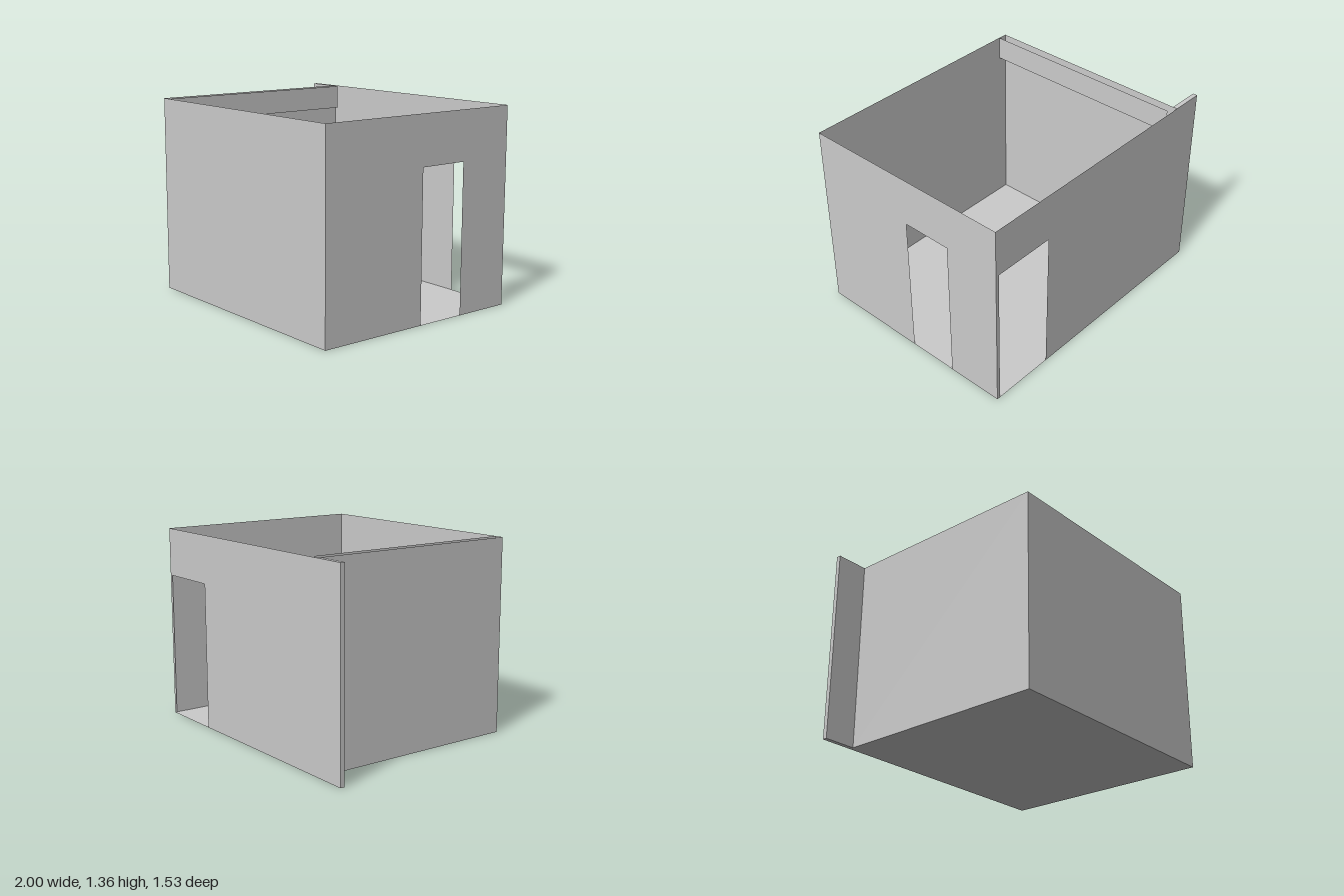
import * as THREE from 'three';

const H = 1.355, X0 = -0.77, X1 = 1, Z0 = -0.767, Z1 = 0.767;
const BEAM_X = -0.705, BEAM_Y = 1.19, RETURN_Z = -0.735, DOOR_H = 1.02;

export function createModel() {
  const room = new THREE.Group();
  room.name = 'room';
  const material = new THREE.MeshStandardMaterial({
    color: 0xcccccc, side: THREE.DoubleSide, flatShading: true,
  });

  const add = (name, geometry) => {
    const mesh = new THREE.Mesh(geometry, material);
    mesh.name = name;
    room.add(mesh);
    return mesh;
  };

  // Thin upright sheet from a to b, with an optional doorway reaching the floor
  const sheet = (a, b, y0, y1, door) => {
    const points = [[a, y0]];
    if (door) points.push([door[0], y0], [door[0], DOOR_H], [door[1], DOOR_H], [door[1], y0]);
    points.push([b, y0], [b, y1], [a, y1]);
    return new THREE.ShapeGeometry(new THREE.Shape(points.map(([x, y]) => new THREE.Vector2(x, y))));
  };

  // Sheet facing along z, outward normal chosen by the sign of z
  const wallAlongX = (name, z, a, b, door) => {
    const g = z > 0 ? sheet(a, b, 0, H, door)
      : sheet(-b, -a, 0, H, door && [-door[1], -door[0]]).rotateY(Math.PI);
    add(name, g.translate(0, 0, z));
  };

  // Sheet facing +x or -x
  const wallAlongZ = (name, x, a, b, y0, facing, door) => {
    const g = facing > 0
      ? sheet(-b, -a, y0, H, door && [-door[1], -door[0]]).rotateY(Math.PI / 2)
      : sheet(a, b, y0, H, door).rotateY(-Math.PI / 2);
    add(name, g.translate(x, 0, 0));
  };

  // Horizontal sheet
  const slab = (name, xa, xb, za, zb, y, up) => add(name,
    new THREE.PlaneGeometry(xb - xa, zb - za).rotateX(up ? -Math.PI / 2 : Math.PI / 2)
      .translate((xa + xb) / 2, y, (za + zb) / 2));

  slab('floor', X0, X1, Z0, Z1, 0, true);

  // Walls, two of them with a doorway
  wallAlongX('frontWall', Z1, X0, X1);
  wallAlongX('backWall', Z0, X0, X1, [0.527, 0.975]);
  wallAlongZ('leftWall', X1, Z0, Z1, 0, 1, [-0.365, -0.012]);
  wallAlongZ('rightWall', X0, RETURN_Z, Z1, 0, -1);

  // Thick end of the back wall beyond the room
  add('backWallEnd', new THREE.BoxGeometry(X0 + 1, H, RETURN_Z - Z0)
    .translate((X0 - 1) / 2, H / 2, (RETURN_Z + Z0) / 2));

  // Beam along the top of the right wall, open above
  wallAlongZ('beamFace', BEAM_X, RETURN_Z, Z1, BEAM_Y, 1);
  slab('beamUnderside', X0, BEAM_X, RETURN_Z, Z1, BEAM_Y, false);

  return room;
}
